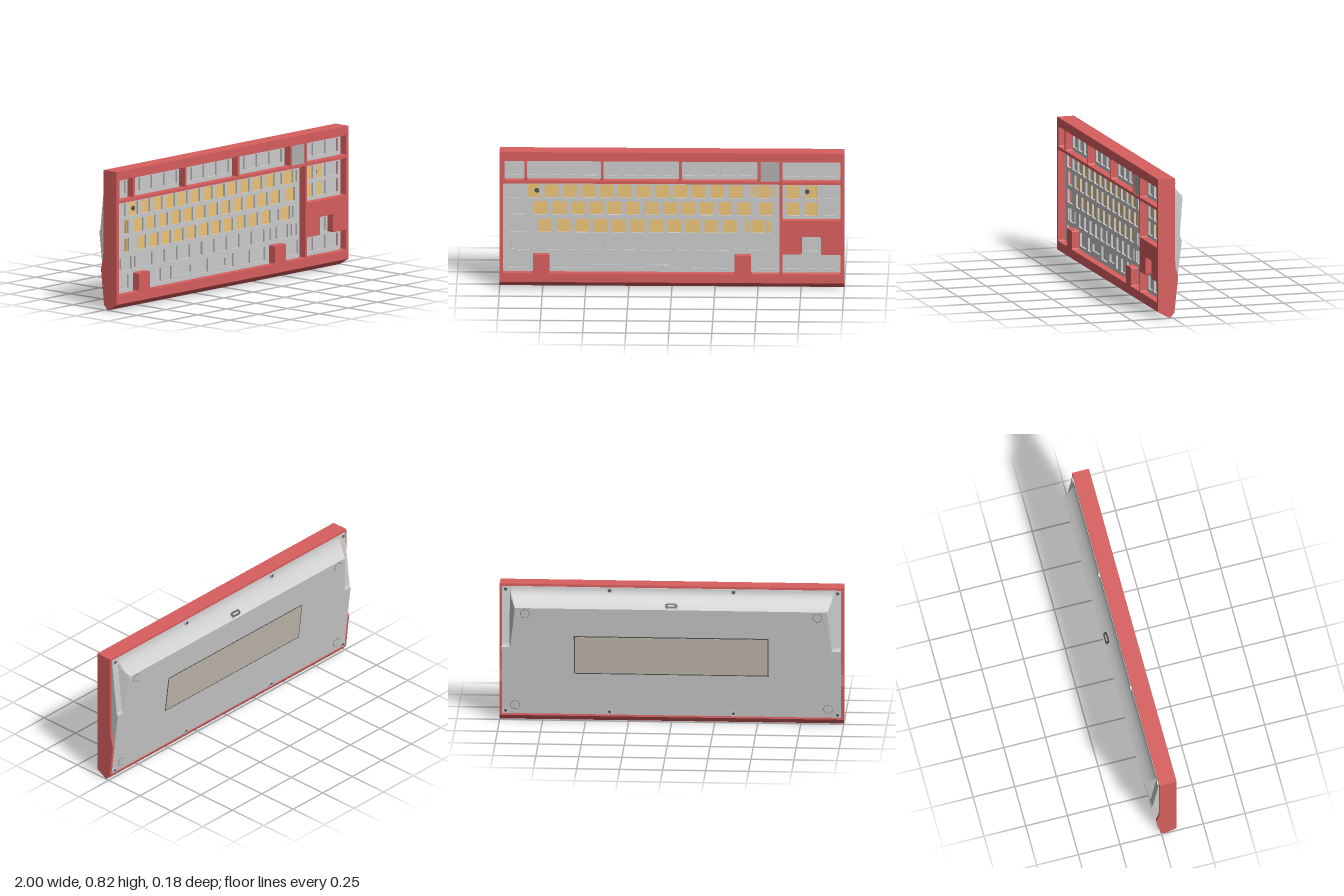
import * as THREE from 'three';
import { toCreasedNormals } from 'three/addons/utils/BufferGeometryUtils.js';

const mat = (color) => new THREE.MeshStandardMaterial({ color });
const RED = mat(0xd95f5f), GREY = mat(0xcccccc), BRASS = mat(0xeec478);
const PANEL = mat(0xc4bcb0), DARK = mat(0x555555), KNOB = mat(0xb0b0b0);

const TILT = 0.119; // slope of the back face
const backDepth = (y) => 0.0045 + TILT * y;

export function createModel() {
  const model = new THREE.Group();

  const add = (name, geometry, material, x = 0, y = 0, z = 0) => {
    const mesh = new THREE.Mesh(geometry, material);
    mesh.name = name;
    mesh.position.set(x, y, z);
    model.add(mesh);
    return mesh;
  };
  const box = (w, h, d) => new THREE.BoxGeometry(w, h, d);

  // Closed outline with small rounded corners
  const outline = (pts, r, Type = THREE.Path) => {
    const p = new Type();
    const v = pts.map(([x, y]) => new THREE.Vector2(x, y));
    v.forEach((c, i) => {
      const a = v[(i + v.length - 1) % v.length], b = v[(i + 1) % v.length];
      const s = a.clone().sub(c).setLength(r).add(c);
      const e = b.clone().sub(c).setLength(r).add(c);
      if (i) p.lineTo(s.x, s.y); else p.moveTo(s.x, s.y);
      p.quadraticCurveTo(c.x, c.y, e.x, e.y);
    });
    p.closePath();
    return p;
  };
  const rect = (x0, y0, x1, y1, r = 0.008, Type = THREE.Path) =>
    outline([[x0, y0], [x1, y0], [x1, y1], [x0, y1]], r, Type);
  const extrude = (shape, depth) =>
    new THREE.ExtrudeGeometry(shape, { depth, bevelEnabled: false, curveSegments: 3 });

  // Front frame with its key openings
  const frame = rect(-1, 0.04, 1, 0.825, 0.004, THREE.Shape);
  for (const [a, b] of [[-0.973, -0.856], [-0.84, -0.412], [-0.396, 0.043],
    [0.059, 0.497], [0.513, 0.626], [0.642, 0.979]]) frame.holes.push(rect(a, 0.653, b, 0.772));
  frame.holes.push(rect(0.642, 0.417, 0.979, 0.636));
  frame.holes.push(outline([[-0.98, 0.093], [-0.807, 0.093], [-0.807, 0.203], [-0.711, 0.203],
    [-0.711, 0.093], [0.364, 0.093], [0.364, 0.203], [0.46, 0.203], [0.46, 0.093],
    [0.626, 0.093], [0.626, 0.636], [-0.98, 0.636]], 0.008));
  frame.holes.push(outline([[0.642, 0.093], [0.979, 0.093], [0.979, 0.214], [0.866, 0.214],
    [0.866, 0.32], [0.754, 0.32], [0.754, 0.214], [0.642, 0.214]], 0.008));
  add('frontFrame', extrude(frame, 0.045), RED, 0, 0, 0.045);

  // Case walls, swept along x from (z, y) profiles
  const sweep = (pts, length) => extrude(
    new THREE.Shape(pts.map(([z, y]) => new THREE.Vector2(-z, y))), length).rotateY(Math.PI / 2);
  const side = [[0.088, 0.041], [0.088, 0.825], [-0.012, 0.825], [-0.012, 0.36], [-0.016, 0.3],
    [-0.032, 0.24], [-0.008, 0.03], [0.02, 0.002]];
  add('rightWall', sweep(side, 0.015), RED, -1);
  add('leftWall', sweep(side, 0.015), RED, 0.985);
  add('topWall', box(1.97, 0.014, 0.1), RED, 0, 0.818, 0.038);
  add('bottomWall', sweep([[0.09, 0.04], [0.088, 0.06], [-0.007, 0.045], [-0.008, 0.03],
    [0.02, 0]], 2), RED, -1);

  // Switch plate: each row lists [centre x, width, height]
  const plate = rect(-0.985, 0.055, 0.985, 0.812, 0.005, THREE.Shape);
  const K = 0.08, U = 0.107;
  const run = (x, n) => Array.from({ length: n }, (_, i) => [x + i * U, K, K]);
  const stab = (x, gap) => [[x - gap, 0.02, 0.07], [x, K, K], [x + gap, 0.02, 0.07]];
  const nav = run(0.704, 3);
  const rows = [
    [0.714, [[-0.914, K, K], ...run(-0.79, 4), ...run(-0.342, 4), ...run(0.112, 4), ...nav]],
    [0.578, [...run(-0.914, 13), ...stab(0.53, 0.063), ...nav]],
    [0.476, [[-0.888, K, K], ...run(-0.76, 12), [0.545, K, K], ...nav]],
    [0.369, [[-0.893, 0.1, K], ...run(-0.735, 11), ...stab(0.503, 0.063)]],
    [0.262, [...stab(-0.86, 0.063), ...run(-0.68, 10), [0.37, 0.02, 0.07],
      ...stab(0.487, 0.063), [0.595, 0.015, 0.07], [0.811, K, K]]],
    [0.155, [[-0.898, 0.1, K], [-0.631, 0.125, K], [-0.508, 0.065, K], [-0.377, 0.14, 0.045],
      [-0.214, 0.105, K], [-0.059, 0.098, 0.045], [0.037, 0.043, K], [0.16, K, K],
      [0.283, 0.095, K], [0.55, 0.125, K], ...nav]],
  ];
  for (const [y, keys] of rows) for (const [x, w, h] of keys)
    plate.holes.push(rect(x - w / 2, y - h / 2, x + w / 2, y + h / 2, 0.004));
  add('switchPlate', extrude(plate, 0.012), GREY, 0, 0, 0.033);

  // Inner floor, brass weight and its bolts
  add('innerFloor', box(1.97, 0.76, 0.006), GREY, 0, 0.433, 0.003);
  add('innerWeight', box(1.68, 0.305, 0.016), BRASS, 0, 0.478, 0.014);
  for (const x of [-0.785, 0.785])
    add('weightBolt', new THREE.CylinderGeometry(0.014, 0.014, 0.006, 16).rotateX(Math.PI / 2),
      DARK, x, 0.575, 0.024);
  add('knobBlock', box(0.111, 0.117, 0.04), KNOB, 0.57, 0.713, 0.064);

  // Back shell: tilted face, concave top, tapered pockets at the upper sides
  const depthAt = (x, y) => {
    const plane = backDepth(y);
    const top = 0.015 + 0.073 * Math.pow(Math.max(0, (0.81 - y) / 0.11), 1.8);
    let pocket = plane;
    if (y > 0.465) pocket = Math.max(0.014, 0.05 - (y - 0.47) * 0.11);
    const ramp = pocket + Math.max(0, 0.94 - Math.abs(x)) * 2;
    return Math.min(plane, top, ramp);
  };
  const half = [0];
  for (let x = 0.9; x < 0.943; x += 0.004) half.push(x);
  half.push(0.985, 0.985);
  const xs = [...half.slice(1).reverse(), ...half.map((x) => -x)];
  const ys = [0.81, 0.81];
  for (let y = 0.8; y > 0.701; y -= 0.01) ys.push(y);
  for (let y = 0.7; y > 0.471; y -= 0.02) ys.push(y);
  ys.push(0.47, 0.455, 0.24, 0.042, 0.042);
  const nx = xs.length - 1, ny = ys.length - 1;
  const shell = new THREE.PlaneGeometry(1, 1, nx, ny);
  for (let j = 0; j <= ny; j++) for (let i = 0; i <= nx; i++) {
    const rim = i === 0 || j === 0 || i === nx || j === ny;
    shell.attributes.position.setXYZ(j * (nx + 1) + i, xs[i], ys[j],
      rim ? 0 : -depthAt(xs[i], ys[j]));
  }
  add('backShell', toCreasedNormals(shell, 0.5), GREY);

  // Parts lying on the tilted back face
  const onBack = (name, geometry, material, x, y) => {
    add(name, geometry, material, x, y, -backDepth(y)).rotation.x = -Math.atan(TILT);
  };
  const disc = (r, h) => new THREE.CylinderGeometry(r, r, h, 24).rotateX(Math.PI / 2);
  onBack('panelSeam', box(1.132, 0.237, 0.002), DARK, 0, 0.412);
  onBack('backPanel', box(1.12, 0.225, 0.004), PANEL, 0, 0.412);
  for (const s of [-1, 1]) for (const [x, y] of [[0.85, 0.665], [0.91, 0.095]]) {
    onBack('footSeam', disc(0.027, 0.002), DARK, s * x, y);
    onBack('foot', disc(0.025, 0.004), GREY, s * x, y);
  }

  // Case screws around the rim
  for (const s of [-1, 1]) for (const x of [0.36, 0.965]) for (const y of [0.795, 0.06]) {
    const z = -depthAt(x, y);
    add('screwCollar', disc(0.016, 0.012), GREY, s * x, y, z);
    add('screwHead', disc(0.009, 0.014), DARK, s * x, y, z);
  }

  // Cable socket in the concave top
  const socket = (name, w, h, d, material) => {
    const g = extrude(rect(-w / 2, -h / 2, w / 2, h / 2, h * 0.45, THREE.Shape), d);
    add(name, g, material, 0, 0.717, -0.066).rotation.x = -Math.PI * 0.75;
  };
  socket('socketRim', 0.085, 0.042, 0.004, GREY);
  socket('socketOpening', 0.073, 0.032, 0.005, DARK);
  socket('socketTongue', 0.042, 0.009, 0.007, GREY);

  return model;
}
